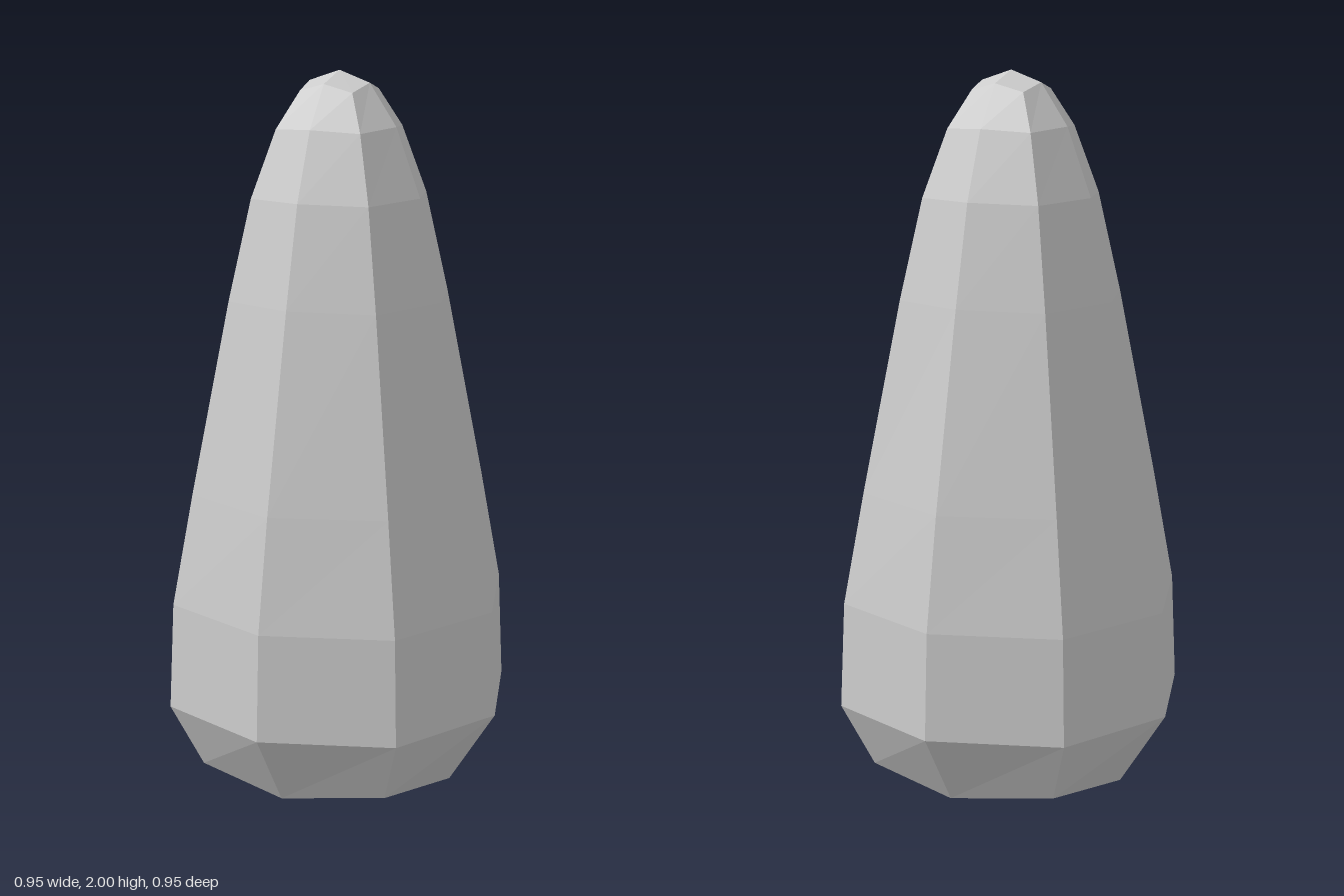
import * as THREE from 'three';

// Rings from bottom to top:
// [radius, height] on the axes, then [offset, height] on the diagonals
const RINGS = [
  [0.340, 0.080, 0.278, 0.110],
  [0.473, 0.285, 0.343, 0.285],
  [0.460, 0.575, 0.334, 0.575],
  [0.408, 0.880, 0.293, 0.880],
  [0.300, 1.405, 0.218, 1.400],
  [0.237, 1.675, 0.173, 1.670],
  [0.167, 1.858, 0.124, 1.850],
  [0.089, 1.970, 0.077, 1.949],
];
const SIDES = 8;

function createBodyGeometry() {
  const points = [];
  for (const [axisR, axisY, diagonal, diagonalY] of RINGS) {
    for (let i = 0; i < SIDES; i++) {
      const angle = (i / SIDES) * Math.PI * 2;
      const odd = i % 2 === 1;
      const r = odd ? diagonal * Math.SQRT2 : axisR;
      points.push(Math.sin(angle) * r, odd ? diagonalY : axisY, Math.cos(angle) * r);
    }
  }
  const bottom = points.length / 3;
  const top = bottom + 1;
  points.push(0, 0, 0, 0, 2, 0);

  const index = [];
  const last = (RINGS.length - 1) * SIDES;
  for (let i = 0; i < SIDES; i++) {
    const next = (i + 1) % SIDES;
    // Side bands
    for (let row = 0; row < last; row += SIDES) {
      const a = row + i, b = row + next, c = b + SIDES, d = a + SIDES;
      index.push(a, b, c, a, c, d);
    }
    // Shallow pointed caps
    index.push(bottom, next, i, top, last + i, last + next);
  }

  const indexed = new THREE.BufferGeometry();
  indexed.setAttribute('position', new THREE.Float32BufferAttribute(points, 3));
  indexed.setIndex(index);
  const geometry = indexed.toNonIndexed();
  geometry.computeVertexNormals();
  return geometry;
}

export function createModel() {
  const group = new THREE.Group();
  group.name = 'taperedPod';
  const material = new THREE.MeshStandardMaterial({ color: 0xcccccc, flatShading: true });
  const body = new THREE.Mesh(createBodyGeometry(), material);
  body.name = 'podBody';
  group.add(body);
  return group;
}
